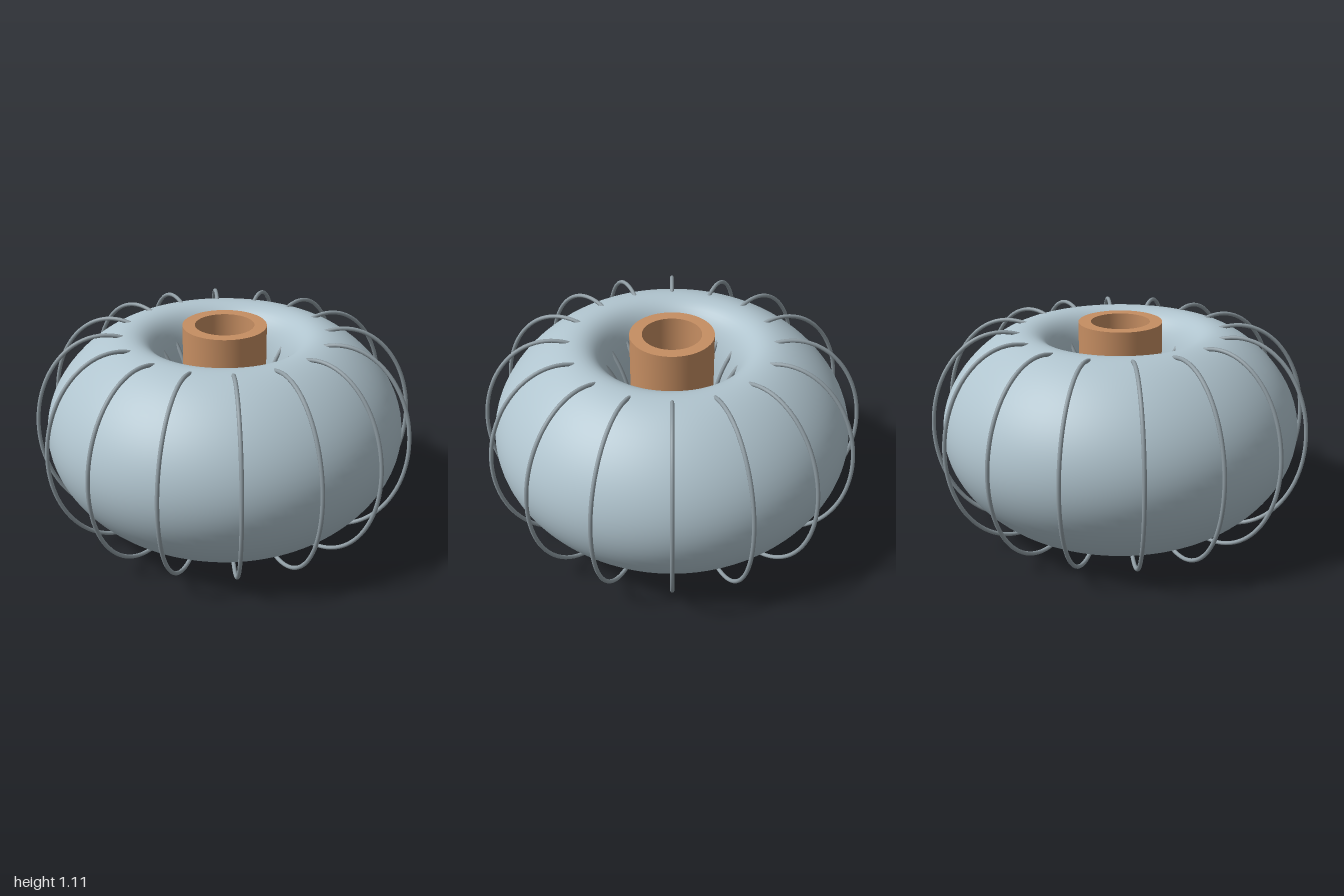
import * as THREE from 'three';
import { toCreasedNormals } from 'three/addons/utils/BufferGeometryUtils.js';

const MID = 0.555; // height of the mid plane

// Closed curve in the (radius, height) plane; skew leans the top and bottom inward
function section(radius, halfWidth, halfHeight, skew, steps) {
  const points = [];
  for (let i = 0; i <= steps; i++) {
    const t = -Math.PI + (i / steps) * Math.PI * 2;
    points.push(new THREE.Vector2(
      radius + halfWidth * Math.cos(t + skew * Math.sin(t)),
      halfHeight * Math.sin(t)
    ));
  }
  return points;
}

export function createModel() {
  const model = new THREE.Group();
  const shell = new THREE.MeshStandardMaterial({ color: 0xb0c4ce });
  const steel = new THREE.MeshStandardMaterial({ color: 0x8f9ca3 });
  const copper = new THREE.MeshStandardMaterial({ color: 0xc68e62 });

  // D-shaped ring vessel
  const vesselGeometry = new THREE.LatheGeometry(section(0.615, 0.32, 0.512, 0.4, 72), 112);
  const vessel = new THREE.Mesh(toCreasedNormals(vesselGeometry, 0.6), shell);
  vessel.name = 'vessel';
  vessel.position.y = MID;
  model.add(vessel);

  // Sixteen elliptical coils threaded through the middle hole
  const loop = section(0.61, 0.375, 0.515, 0, 48).slice(0, -1)
    .map((p) => new THREE.Vector3(p.x, p.y, 0));
  const coilGeometry = new THREE.TubeGeometry(
    new THREE.CatmullRomCurve3(loop, true), 96, 0.0105, 10, true);
  const coils = new THREE.Group();
  coils.name = 'coils';
  coils.position.y = MID;
  for (let i = 0; i < 16; i++) {
    const coil = new THREE.Mesh(coilGeometry, steel);
    coil.name = 'coil';
    coil.rotation.y = (i / 16) * Math.PI * 2;
    coils.add(coil);
  }
  model.add(coils);

  // Hollow central column
  const wall = [[0.152, 0], [0.216, 0], [0.216, 1.11], [0.152, 1.11], [0.152, 0]]
    .map(([r, y]) => new THREE.Vector2(r, y));
  const column = new THREE.Mesh(toCreasedNormals(new THREE.LatheGeometry(wall, 64), 0.6), copper);
  column.name = 'centralColumn';
  model.add(column);

  return model;
}
